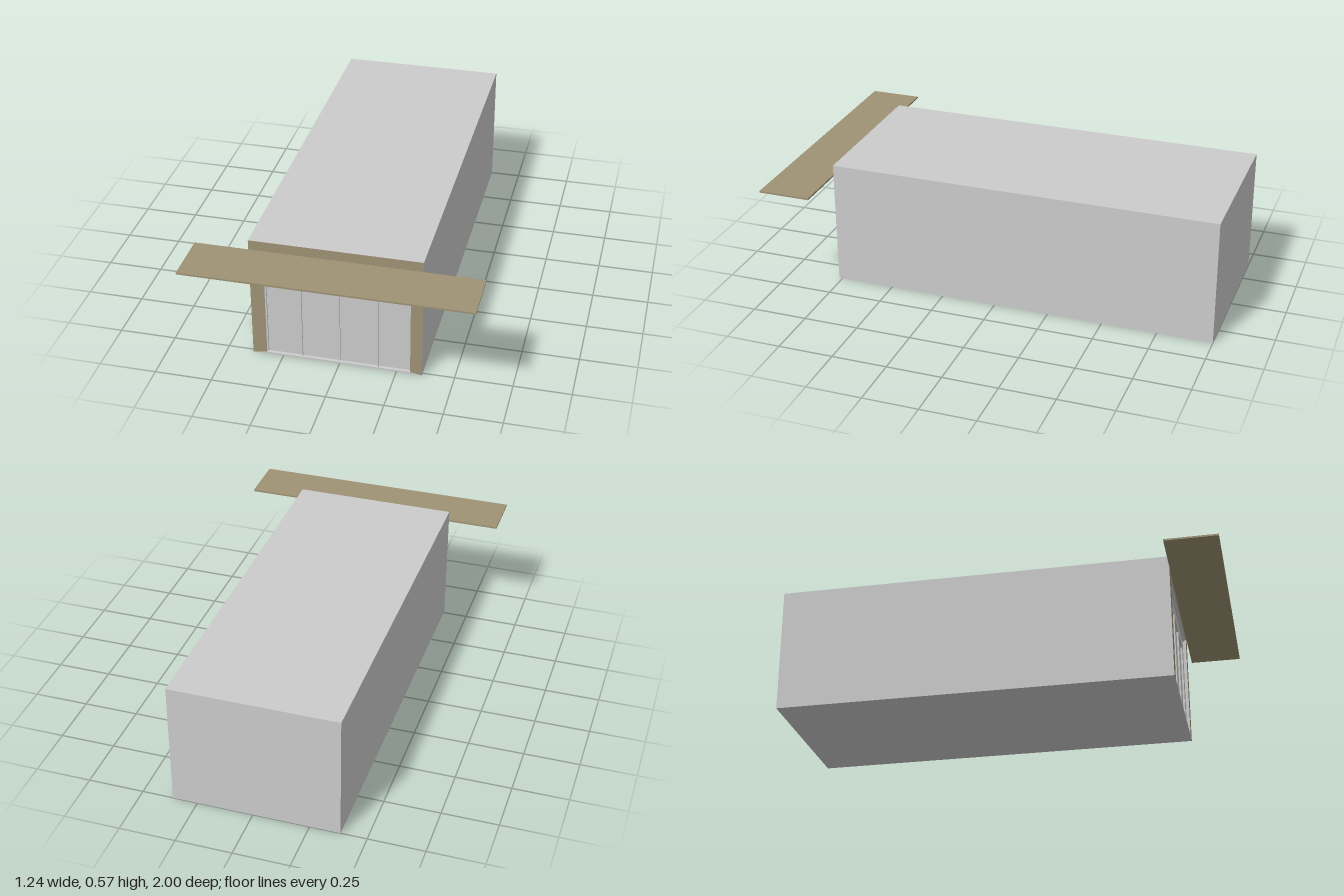
import * as THREE from 'three';

export function createModel() {
  const group = new THREE.Group();
  const grey = new THREE.MeshStandardMaterial({ color: 0xcccccc });
  const brown = new THREE.MeshStandardMaterial({ color: 0x9f9375 });

  const add = (name, geometry, material) => {
    const mesh = new THREE.Mesh(geometry, material);
    mesh.name = name;
    group.add(mesh);
    return mesh;
  };
  // Box given by its extents along each axis
  const box = (name, [x0, x1], [y0, y1], [z0, z1], material = grey) =>
    add(name, new THREE.BoxGeometry(x1 - x0, y1 - y0, z1 - z0), material)
      .position.set((x0 + x1) / 2, (y0 + y1) / 2, (z0 + z1) / 2);
  // Flat outline extruded from the recessed wall to the front plane
  const slab = (name, points, materials) => {
    const shape = new THREE.Shape(points.map(([x, y]) => new THREE.Vector2(x, y)));
    const geometry = new THREE.ExtrudeGeometry(shape, { depth: front - wall, bevelEnabled: false });
    add(name, geometry, materials).position.z = wall;
  };

  const left = -0.385, right = 0.362, height = 0.572;
  const openL = -0.325, openR = 0.31, openTop = 0.497, sill = 0.008;
  const front = 0.765, wall = 0.75;

  // Long building volume, its front end forming the recessed glazing plane
  box('body', [left, right], [0, height], [-1, wall]);

  // Brown portal around the opening, mitred onto a low grey sill
  slab('portal', [
    [left, 0], [openL, sill], [openL, openTop], [openR, openTop],
    [openR, sill], [right, 0], [right, height], [left, height],
  ], [brown, grey]);
  slab('sill', [[left, 0], [right, 0], [openR, sill], [openL, sill]], grey);

  // Thin glazing and door frames
  const bar = 0.007, doorX = 0.168, doorTop = 0.395, depth = [wall, wall + 0.008];
  box('glazingTopRail', [openL, openR], [openTop - bar, openTop], depth);
  box('glazingSideRail', [openL, openL + bar], [sill, openTop - bar], depth);
  for (const x of [-doorX, 0, doorX]) {
    const half = x === 0 ? 0.002 : 0.003;
    box('doorPost', [x - half, x + half], [sill, doorTop], depth);
  }
  box('doorHead', [-doorX - 0.003, doorX + 0.003], [doorTop - 0.006, doorTop], depth);

  // Thin canopy projecting over the entrance
  box('canopy', [-0.62, 0.62], [0.519, 0.527], [front, 1], brown);

  return group;
}
